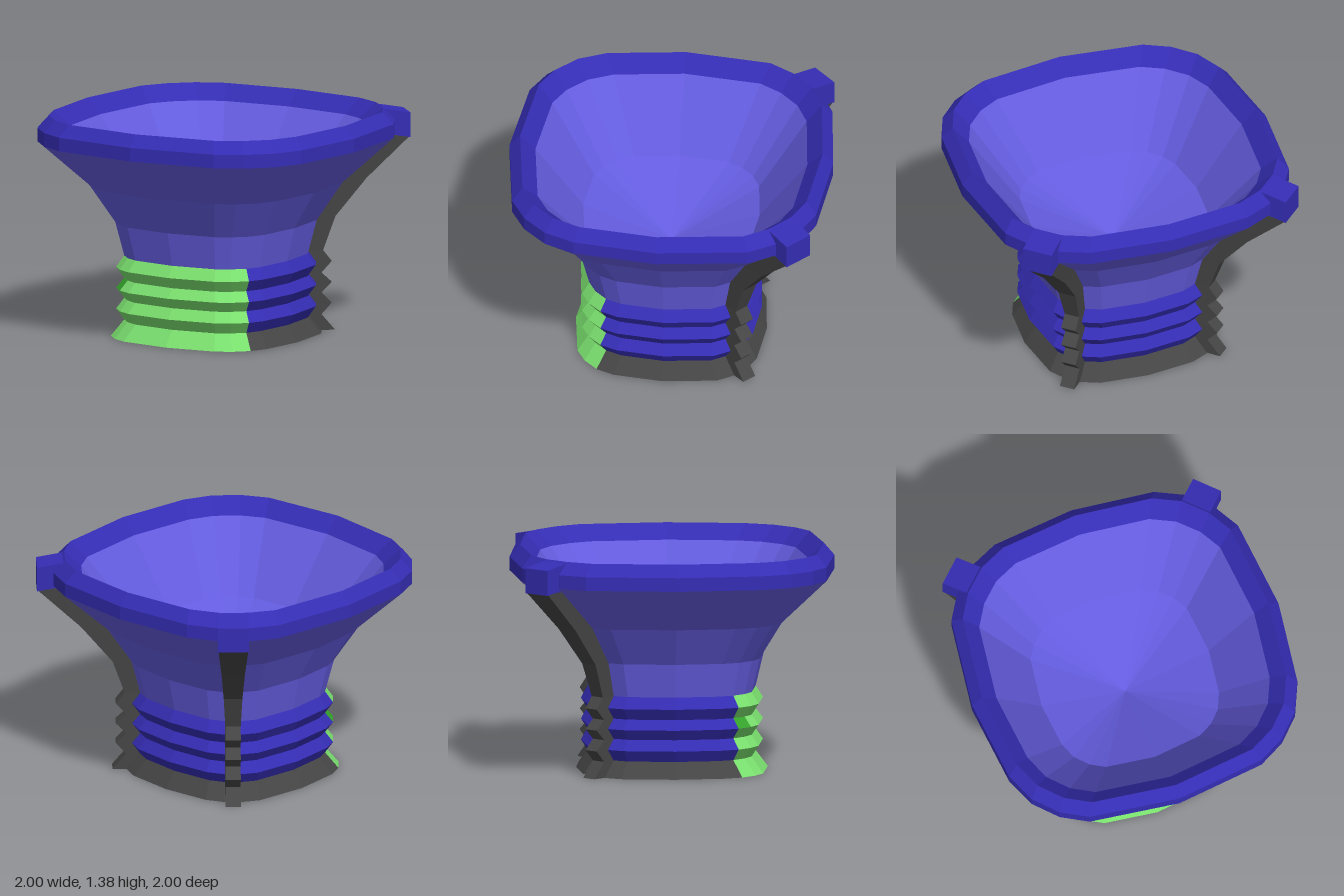
import * as THREE from 'three';

const PURPLE = 0x645cdf, BLUE = 0x352db4, GREEN = 0x7ae06e, DEEP_GREEN = 0x35a52c, DARK = 0x454545;

// Right half of the rounded-square plan at half-width 1, front to back, then mirrored
const HALF = [
  [0.56, 0.93], [0.725, 0.84], [0.86, 0.7], [0.94, 0.515], [1, 0],
  [0.935, -0.565], [0.84, -0.725], [0.7, -0.86], [0.52, -0.945],
];
const PLAN = [[0, 1], ...HALF, [0, -1], ...HALF.map(([x, z]) => [-x, z]).reverse()].reverse();
const N = PLAN.length;

// Plan segments that make up the front panel
const FRONT_START = N - 4, FRONT_END = N + 2;

function makeMesh(name, positions, color) {
  const geometry = new THREE.BufferGeometry();
  geometry.setAttribute('position', new THREE.Float32BufferAttribute(positions, 3));
  geometry.computeVertexNormals();
  const material = new THREE.MeshStandardMaterial({ color, flatShading: true, side: THREE.DoubleSide });
  const mesh = new THREE.Mesh(geometry, material);
  mesh.name = name;
  return mesh;
}

function pushQuad(out, a, b, c, d) {
  out.push(...a, ...b, ...c, ...a, ...c, ...d);
}

// Sweeps a [half-width, height] profile (outside listed bottom to top) along the plan
function shell(name, profile, color, from = 0, to = N) {
  const at = (i, [r, y]) => [PLAN[i % N][0] * r, y, PLAN[i % N][1] * r];
  const out = [];
  for (let k = 0; k < profile.length - 1; k++) {
    for (let i = from; i < to; i++) {
      pushQuad(out, at(i, profile[k]), at(i, profile[k + 1]), at(i + 1, profile[k + 1]), at(i + 1, profile[k]));
    }
  }
  return makeMesh(name, out, color);
}

// Strap sections: [outer radius, inner radius, height, width]
const STRAP = [
  [0.74, 0.65, 0, 0.095], [0.655, 0.57, 0.1, 0.095], [0.72, 0.62, 0.17, 0.095],
  [0.655, 0.57, 0.235, 0.095], [0.72, 0.62, 0.3, 0.095], [0.655, 0.57, 0.36, 0.095],
  [0.72, 0.62, 0.43, 0.095], [0.665, 0.57, 0.5, 0.095], [0.74, 0.625, 0.71, 0.115],
  [0.935, 0.785, 0.945, 0.145], [1.205, 1.06, 1.2, 0.185],
];

// Strap and its clip, built along +z, then turned to a rear corner
function cornerStrap(side) {
  const group = new THREE.Group();
  const rings = STRAP.map(([ro, ri, y, w]) => [
    [w / 2, y, ri], [w / 2, y, ro], [-w / 2, y, ro], [-w / 2, y, ri],
  ]);
  const out = [];
  for (let k = 0; k < rings.length - 1; k++) {
    for (let e = 0; e < 3; e++) {
      pushQuad(out, rings[k][e], rings[k + 1][e], rings[k + 1][e + 1], rings[k][e + 1]);
    }
  }
  group.add(makeMesh('strap', out, DARK));

  const foot = [];
  pushQuad(foot, ...rings[0]);
  group.add(makeMesh('strapFoot', foot, GREEN));

  // Clip over the rim, its top rising slightly toward the inside
  const clip = new THREE.Mesh(
    new THREE.BoxGeometry(0.19, 0.155, 0.17),
    new THREE.MeshStandardMaterial({ color: BLUE, flatShading: true }),
  );
  const p = clip.geometry.attributes.position;
  for (let i = 0; i < p.count; i++) {
    if (p.getZ(i) < 0) p.setY(i, p.getY(i) + 0.03);
  }
  clip.geometry.computeVertexNormals();
  clip.position.set(0, 1.268, 1.122);
  clip.name = 'rimClip';
  group.add(clip);

  group.rotation.y = side * Math.PI * 0.755;
  group.name = side > 0 ? 'leftStrap' : 'rightStrap';
  return group;
}

export function createModel() {
  const model = new THREE.Group();
  model.name = 'funnelCup';

  // Flared outer wall, rim and bowl
  model.add(shell('outerWall', [[0.515, 0.5], [0.565, 0.71], [0.71, 0.945], [1, 1.225]], PURPLE));
  model.add(shell('rim', [[1, 1.225], [1, 1.31], [0.935, 1.385], [0.84, 1.29]], BLUE));
  model.add(shell('bowl', [[0.84, 1.29], [0.545, 0.88], [0, 0.65]], PURPLE));

  // Bellows neck: blue around the back, green panel at the front
  const neck = [[0.515, 0.1]];
  for (const [valley, ridge] of [[0.235, 0.17], [0.36, 0.3], [0.5, 0.43]]) {
    neck.push([0.56, ridge], [0.515, valley]);
  }
  model.add(shell('neckBack', neck, BLUE, FRONT_END - N, FRONT_START));
  model.add(shell('neckFrontLower', neck.slice(0, 4), GREEN, FRONT_START, FRONT_END));
  model.add(shell('neckFrontMiddle', neck.slice(3, 5), GREEN, FRONT_START, FRONT_END - 1));
  model.add(shell('neckFrontPatch', neck.slice(3, 5), DEEP_GREEN, FRONT_END - 1, FRONT_END));
  model.add(shell('neckFrontUpper', neck.slice(4), GREEN, FRONT_START, FRONT_END));

  // Flared foot
  const foot = [[0.59, 0], [0.515, 0.1]];
  model.add(shell('footBack', foot, DARK, FRONT_END - N, FRONT_START));
  model.add(shell('footFront', foot, GREEN, FRONT_START, FRONT_END));

  for (const side of [1, -1]) model.add(cornerStrap(side));
  return model;
}
